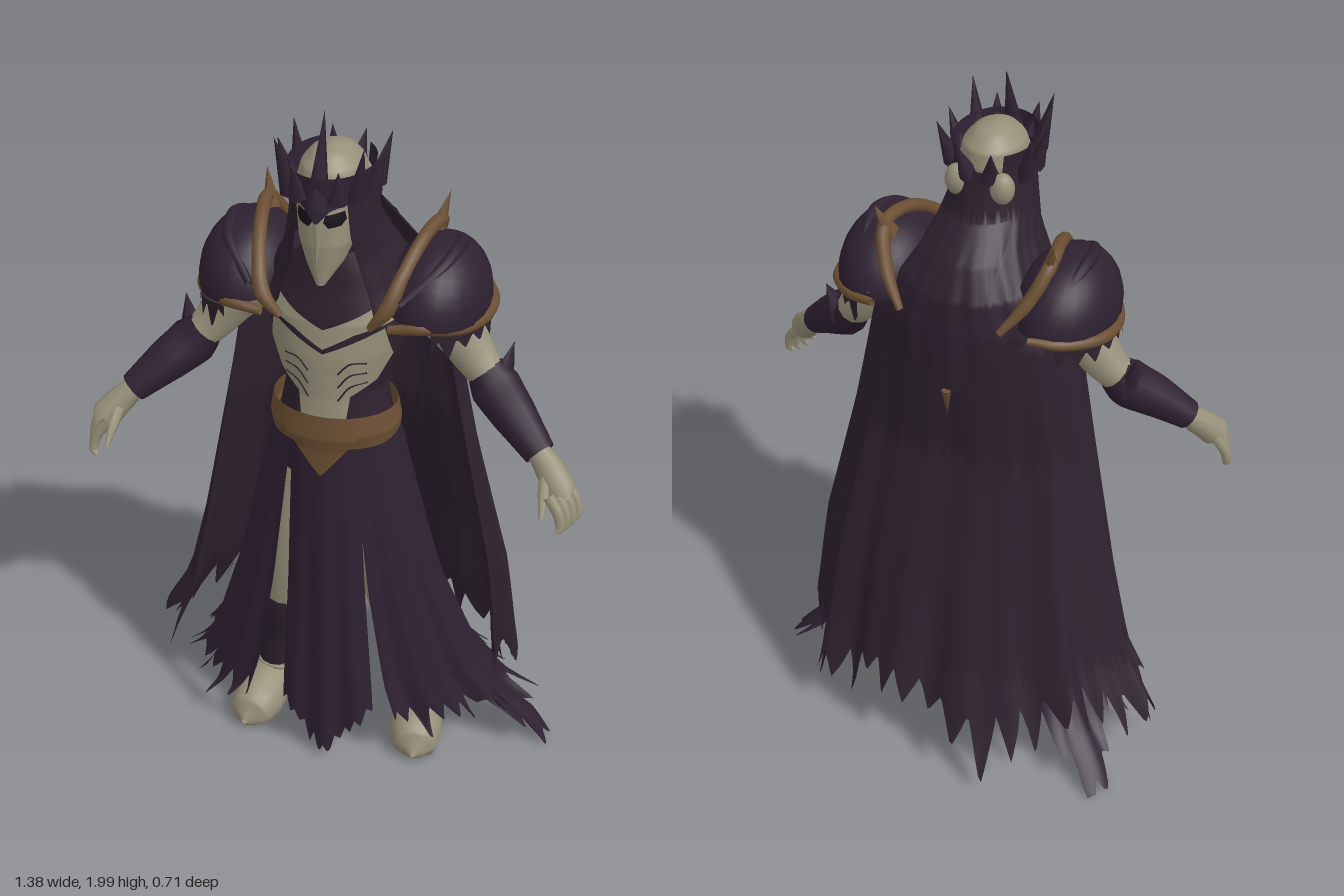
import * as THREE from 'three';
import { ParametricGeometry } from 'three/addons/geometries/ParametricGeometry.js';

const mat = (name, color) => new THREE.MeshStandardMaterial({ name, color, side: THREE.DoubleSide });
const V = (a) => new THREE.Vector3(...a);
const hash = (i) => { const s = Math.sin(i * 12.9898 + 4.1) * 43758.5453; return s - Math.floor(s); };

// Interpolates rows of numbers by their first column (rising)
function at(rows, y) {
  let i = 0;
  while (i < rows.length - 2 && y > rows[i + 1][0]) i++;
  const a = rows[i], b = rows[i + 1];
  const k = THREE.MathUtils.clamp((y - a[0]) / (b[0] - a[0]), 0, 1);
  return a.map((n, j) => n + (b[j] - n) * k);
}

// Torn edge: triangular teeth of uneven length hanging from a base height rule
const torn = (base, depth, n, seed) => (t) => {
  const k = t * n, i = Math.floor(k), f = Math.abs(2 * (k - i) - 1);
  return base(t) - depth * (0.25 + 0.75 * hash(i + seed)) * (1 - f);
};

// Elliptical sections [y, rx, rz, zc, skew], angle 0 = front, going round by +x
function loft(rows, { t0 = 0, t1 = Math.PI * 2, hem, fold = 0, n = 12, nu = 40, nv = 16 } = {}) {
  const top = rows[rows.length - 1][0];
  return new ParametricGeometry((u, v, p) => {
    const t = t0 + (t1 - t0) * u, low = hem ? hem(t) : rows[0][0];
    const y = low + (top - low) * v;
    const [, rx, rz, zc, skew = 1] = at(rows, y);
    const f = 1 + fold * (1 - v) * (Math.cos(n * t) + 0.6 * Math.cos(n * 1.7 * t + 1));
    const x = rx * f * Math.sin(t);
    p.set(x > 0 ? x * skew : x, y, zc + rz * f * Math.cos(t));
  }, nu, nv);
}

// Front surface of a loft, and plates laid on it between pairs of points [x0, y0, x1, y1]
const front = (rows) => (x, y) => {
  const [, rx, rz, zc] = at(rows, y);
  return zc + rz * Math.sqrt(Math.max(0, 1 - (x / rx) ** 2));
};
function patch(segs, surf, off) {
  const rows = segs.map((s, i) => [i, ...s]);
  return new ParametricGeometry((u, v, p) => {
    const [, x0, y0, x1, y1] = at(rows, v * (segs.length - 1));
    const x = x0 + (x1 - x0) * u, y = y0 + (y1 - y0) * u;
    p.set(x, y, surf(x, y) + off);
  }, 10, (segs.length - 1) * 4);
}

// Tube through [x, y, z, radius]
function limb(pts, sides = 12) {
  const curve = new THREE.CatmullRomCurve3(pts.map((p) => V(p.slice(0, 3))));
  const N = pts.length * 6, g = new THREE.TubeGeometry(curve, N, 1, sides), pos = g.attributes.position;
  const radii = pts.map((p, i) => [i, p[3]]), v = new THREE.Vector3();
  for (let k = 0; k < pos.count; k++) {
    const s = Math.floor(k / (sides + 1)) / N, c = curve.getPointAt(s);
    const r = at(radii, curve.getUtoTmapping(s) * (pts.length - 1))[1];
    v.fromBufferAttribute(pos, k).sub(c).multiplyScalar(r).add(c);
    pos.setXYZ(k, v.x, v.y, v.z);
  }
  return g;
}

export function createModel() {
  const root = new THREE.Group();
  root.name = 'robedFigure';
  const cloak = mat('darkCloak', 0x2d212d), robe = mat('purpleRobe', 0x2e2131);
  const bone = mat('bone', 0x969079), gold = mat('bronze', 0x6c4f33), black = mat('black', 0x17121a);
  const add = (parent, name, geo, m) => {
    const mesh = new THREE.Mesh(geo, m);
    mesh.name = name;
    parent.add(mesh);
    return mesh;
  };
  const spike = (parent, name, base, tip, w, d, m) => {
    const dir = V(tip).sub(V(base)), len = dir.length();
    const g = new THREE.ConeGeometry(1, len, 6).translate(0, len / 2, 0).scale(w, 1, d);
    const mesh = add(parent, name, g, m);
    mesh.position.set(...base);
    mesh.quaternion.setFromUnitVectors(new THREE.Vector3(0, 1, 0), dir.normalize());
  };

  // Torso and head
  const torso = [[0.95, 0.17, 0.13, 0.16], [1.1, 0.155, 0.125, 0.165], [1.2, 0.135, 0.12, 0.16],
    [1.32, 0.18, 0.15, 0.13], [1.42, 0.2, 0.15, 0.12], [1.5, 0.16, 0.14, 0.11], [1.6, 0.07, 0.07, 0.17]];
  const skull = [[1.545, 0.012, 0.012, 0.295], [1.6, 0.05, 0.06, 0.25], [1.66, 0.074, 0.09, 0.225], [1.73, 0.085, 0.11, 0.2],
    [1.8, 0.09, 0.11, 0.185], [1.84, 0.08, 0.1, 0.18], [1.87, 0.055, 0.07, 0.18], [1.885, 0.025, 0.03, 0.18], [1.888, 0.001, 0.001, 0.18]];
  const chest = front(torso), face = front(skull);
  add(root, 'torso', loft(torso), cloak);
  add(root, 'skull', loft(skull, { nv: 32 }), bone);
  spike(root, 'noseRidge', [0, 1.74, 0.3], [0, 1.61, 0.335], 0.02, 0.02, bone);

  // Crown: band open at the back, brow peak and front spike
  const band = [[1.755, 0.095, 0.13, 0.19], [1.8, 0.103, 0.135, 0.19], [1.85, 0.11, 0.135, 0.19]];
  add(root, 'crownBand', loft(band, { t0: -2.5, t1: 2.5, hem: (t) => 1.765 + 0.035 * (1 - Math.cos(t)) / 2 }), robe);
  add(root, 'browPeak', patch([[-0.08, 1.78, 0.08, 1.78], [-0.03, 1.76, 0.03, 1.76], [-0.004, 1.73, 0.004, 1.73]], face, 0.022), robe);
  spike(root, 'crownFrontSpike', [0, 1.76, 0.32], [0, 2, 0.25], 0.032, 0.03, robe);

  // Belt and buckle
  const belt = [[1.06, 0.172, 0.135, 0.17], [1.1, 0.178, 0.142, 0.17], [1.155, 0.168, 0.135, 0.17]];
  add(root, 'belt', loft(belt), gold);
  add(root, 'buckle', patch([[-0.07, 1.14, 0.07, 1.14], [-0.1, 1.1, 0.1, 1.1], [-0.06, 1.05, 0.06, 1.05], [-0.003, 0.98, 0.003, 0.98]], front(belt), 0.012), gold);

  // Long front panel with a ragged point
  const panelRows = [[0.03, 0.14], [0.25, 0.13], [0.6, 0.11], [0.85, 0.1], [1.08, 0.09]];
  const panelHem = torn((t) => 0.05 + 0.15 * Math.abs(t), 0.06, 4.5, 9);
  add(root, 'frontPanel', new ParametricGeometry((u, v, p) => {
    const s = u * 2 - 1, low = Math.max(0.03, panelHem(s)), y = low + (1.08 - low) * v;
    p.set(s * at(panelRows, y)[1], y, 0.31 - 0.035 * s * s + 0.008 * (1 - v) * Math.cos(s * 9));
  }, 54, 12), robe);

  // Cape, back cowl folds and tassel
  const cape = [[0.06, 0.63, 0.37, -0.01, 0.78], [0.2, 0.57, 0.32, 0, 0.81], [0.35, 0.49, 0.28, 0.01, 0.92], [0.6, 0.43, 0.24, 0.03, 1],
    [1, 0.352, 0.17, 0.06, 1], [1.4, 0.28, 0.19, 0.065, 1], [1.52, 0.19, 0.18, 0.07, 1]];
  const capeHem = torn((t) => 0.28 + 0.04 * Math.sin(t * 5), 0.21, 6.5, 3);
  add(root, 'cape', loft(cape, { t0: 1.35, t1: 4.95, hem: capeHem, fold: 0.045, n: 11, nu: 240, nv: 24 }), cloak);
  const cowl = [[1.15, 0.3, 0.19, 0.065], [1.42, 0.28, 0.195, 0.07], [1.52, 0.22, 0.185, 0.07], [1.6, 0.16, 0.17, 0.1], [1.68, 0.12, 0.13, 0.14]];
  [1.22, 1.32, 1.42].forEach((low, i) => {
    const rows = cowl.map(([y, rx, rz, zc]) => [y, rx, rz + 0.007 * (i + 1), zc]);
    add(root, 'cowlFold', loft(rows, { t0: 2.2, t1: 4.08, hem: (t) => low + 0.25 * Math.abs(t - Math.PI), fold: 0.012, n: 16 }), i % 2 ? robe : cloak);
  });
  spike(root, 'tassel', [0, 1.24, -0.14], [0, 1.16, -0.13], 0.014, 0.01, gold);

  // Hood hanging from the crown, open at the face
  const hood = [[1.4, 0.235, 0.215, 0.1], [1.5, 0.19, 0.2, 0.1], [1.6, 0.14, 0.165, 0.13], [1.68, 0.118, 0.135, 0.17], [1.76, 0.108, 0.125, 0.18], [1.8, 0.103, 0.125, 0.185]];
  const hoodHem = torn((t) => 1.48 - 0.05 * Math.sin(t / 2), 0.04, 8, 5);
  add(root, 'hood', loft(hood, { t0: 0.66, t1: Math.PI * 2 - 0.66, hem: hoodHem, fold: 0.02, n: 15, nu: 120 }), cloak);

  // Everything paired is built for the left and mirrored
  for (const side of [1, -1]) {
    const g = new THREE.Group();
    g.name = side > 0 ? 'leftSide' : 'rightSide';
    g.scale.x = side;
    root.add(g);

    // Eye sockets, crown spikes and the bone bulge at the back of the head
    add(g, 'eyeSocket', patch([[0.018, 1.745, 0.06, 1.752], [0.014, 1.727, 0.064, 1.73], [0.026, 1.712, 0.054, 1.715]], face, 0.006), black);
    [[0.05, 1.79, 0.31, 0.06, 1.88, 0.335], [0.085, 1.78, 0.27, 0.115, 1.935, 0.3], [0.105, 1.77, 0.2, 0.14, 1.89, 0.2],
      [0.1, 1.77, 0.14, 0.13, 1.9, 0.1], [0.03, 1.78, 0.075, 0.045, 1.87, 0.045]].forEach((s) =>
      spike(g, 'crownSpike', s.slice(0, 3), s.slice(3), 0.026, 0.03, robe));
    add(g, 'skullBulge', new THREE.SphereGeometry(1, 14, 10).scale(0.035, 0.045, 0.03).translate(0.062, 1.755, 0.08), bone);

    // Bone collar chevron, breastplate and dark rib gaps
    add(g, 'collarChevron', patch([[0.17, 1.485, 0.175, 1.425], [0.08, 1.44, 0.08, 1.395], [0, 1.405, 0, 1.35]], chest, 0.014), bone);
    add(g, 'breastplate', patch([[0, 1.335, 0.15, 1.405], [0, 1.3, 0.165, 1.32], [0, 1.24, 0.13, 1.25], [0, 1.19, 0.07, 1.21], [0, 1.13, 0.06, 1.13]], chest, 0.01), bone);
    for (let i = 0; i < 3; i++) {
      const pts = [[0.04, 1.2 + i * 0.04], [0.07, 1.24 + i * 0.035], [0.11, 1.25 + i * 0.03]];
      add(g, 'ribGap', limb(pts.map(([x, y]) => [x, y, chest(x, y) + 0.01, 0.0025]), 5), cloak);
    }

    // Pauldron, bronze trims and spike
    const dome = new THREE.SphereGeometry(1, 24, 10, 0, Math.PI * 2, 0, Math.PI / 2);
    add(g, 'pauldron', dome.scale(0.14, 0.17, 0.195).rotateZ(-0.13).translate(0.25, 1.44, 0.085), robe);
    add(g, 'pauldronRidge', limb([[0.2, 1.5, 0.27, 0.01], [0.285, 1.575, 0.18, 0.016], [0.305, 1.595, 0.08, 0.018], [0.285, 1.555, -0.02, 0.016], [0.24, 1.46, -0.1, 0.01]]), robe);
    add(g, 'pauldronLowerTrim', limb([[0.17, 1.425, 0.27, 0.012], [0.26, 1.44, 0.265, 0.018], [0.34, 1.42, 0.2, 0.018], [0.385, 1.415, 0.1, 0.018],
      [0.375, 1.425, 0, 0.018], [0.3, 1.44, -0.09, 0.016], [0.22, 1.45, -0.12, 0.01]], 8), gold);
    add(g, 'pauldronInnerTrim', limb([[0.12, 1.42, 0.27, 0.01], [0.165, 1.48, 0.27, 0.022], [0.19, 1.55, 0.22, 0.019], [0.22, 1.62, 0.1, 0.018],
      [0.235, 1.62, 0, 0.019], [0.2, 1.53, -0.07, 0.019], [0.14, 1.45, -0.12, 0.01]], 8), gold);
    spike(g, 'pauldronSpike', [0.225, 1.59, 0.01], [0.25, 1.69, -0.03], 0.024, 0.032, gold);
    const sleeve = [[1.3, 0.15, 0.17, 0], [1.45, 0.135, 0.175, 0]];
    add(g, 'shoulderTatters', loft(sleeve, { hem: torn(() => 1.4, 0.07, 3, 7 + side), t0: 0.2, t1: 2.9, nu: 60, nv: 4 }).translate(0.25, 0, 0.085), cloak);

    // Arm, bracer and hand
    add(g, 'upperArm', limb([[0.24, 1.43, 0.09, 0.08], [0.31, 1.35, 0.09, 0.07], [0.37, 1.27, 0.1, 0.055], [0.42, 1.22, 0.12, 0.045]]), bone);
    add(g, 'bracer', limb([[0.385, 1.255, 0.1, 0.05], [0.42, 1.215, 0.12, 0.068], [0.48, 1.165, 0.16, 0.06], [0.565, 1.09, 0.21, 0.042]]), robe);
    spike(g, 'elbowSpike', [0.43, 1.22, 0.1], [0.455, 1.33, 0.07], 0.035, 0.05, robe);
    add(g, 'palm', limb([[0.55, 1.1, 0.2, 0.028], [0.59, 1.065, 0.225, 0.038], [0.63, 1.02, 0.255, 0.042], [0.645, 0.995, 0.265, 0.02]]), bone);
    for (let i = 0; i < 4; i++) {
      const z = 0.225 + i * 0.026, x = 0.655 - i * 0.01;
      add(g, 'finger', limb([[x - 0.015, 1.025, z, 0.015], [x + 0.015, 0.98, z + 0.008, 0.015], [x + 0.022, 0.94, z + 0.015, 0.012], [x + 0.012, 0.91 + 0.012 * Math.abs(i - 1.5), z + 0.02, 0.004]], 7), bone);
    }
    add(g, 'thumb', limb([[0.59, 1.06, 0.24, 0.018], [0.595, 1.02, 0.29, 0.016], [0.6, 0.97, 0.335, 0.006]], 7), bone);

    // Leg, shin guard and boot with a flat sole
    add(g, 'leg', limb([[0.09, 0.98, 0.16, 0.08], [0.125, 0.7, 0.17, 0.085], [0.165, 0.45, 0.14, 0.068], [0.2, 0.28, 0.09, 0.065], [0.215, 0.08, 0.075, 0.05]]), bone);
    add(g, 'shinGuard', limb([[0.16, 0.48, 0.165, 0.03], [0.172, 0.42, 0.16, 0.06], [0.195, 0.3, 0.125, 0.058], [0.21, 0.18, 0.105, 0.05]]), cloak);
    const boot = limb([[0.21, 0.06, -0.01, 0.01], [0.215, 0.08, 0.03, 0.058], [0.225, 0.085, 0.1, 0.07], [0.24, 0.06, 0.19, 0.074], [0.25, 0.045, 0.24, 0.06], [0.255, 0.04, 0.275, 0.008]], 16);
    const bp = boot.attributes.position;
    for (let i = 0; i < bp.count; i++) bp.setY(i, Math.max(0.02, bp.getY(i)));
    boot.computeVertexNormals();
    add(g, 'boot', boot, bone);
    for (const y of [0.14, 0.22, 0.3]) {
      const cuff = new THREE.TorusGeometry(0.058, 0.007, 6, 20).rotateX(Math.PI / 2 - 0.15);
      add(g, 'bootBand', cuff.translate(0.217 - y * 0.06, y, 0.07 + y * 0.05), bone);
    }

    // Side skirt, sweeping to a long tip: sideways on the left, rearward on the right
    const skirt = [[0, 0.62, 0.5, 0.02], [0.07, 0.56, 0.38, 0.01], [0.15, 0.46, 0.29, 0.03], [0.3, 0.375, 0.23, 0.09], [0.6, 0.28, 0.17, 0.145], [1.08, 0.172, 0.135, 0.165]];
    const tip = side > 0 ? 1.5 : 2.1;
    const low = (t) => 0.21 - 0.17 * Math.exp(-(((t - tip) / 0.2) ** 2));
    const skirtHem = torn(low, 0.12, 8, side > 0 ? 11 : 40);
    add(g, 'sideSkirt', loft(skirt, { t0: side > 0 ? 0.47 : 0.55, t1: 2.42, hem: (t) => Math.max(0.01, skirtHem(t)), fold: 0.03, n: 14, nu: 130, nv: 24 }), robe);
  }
  return root;
}
